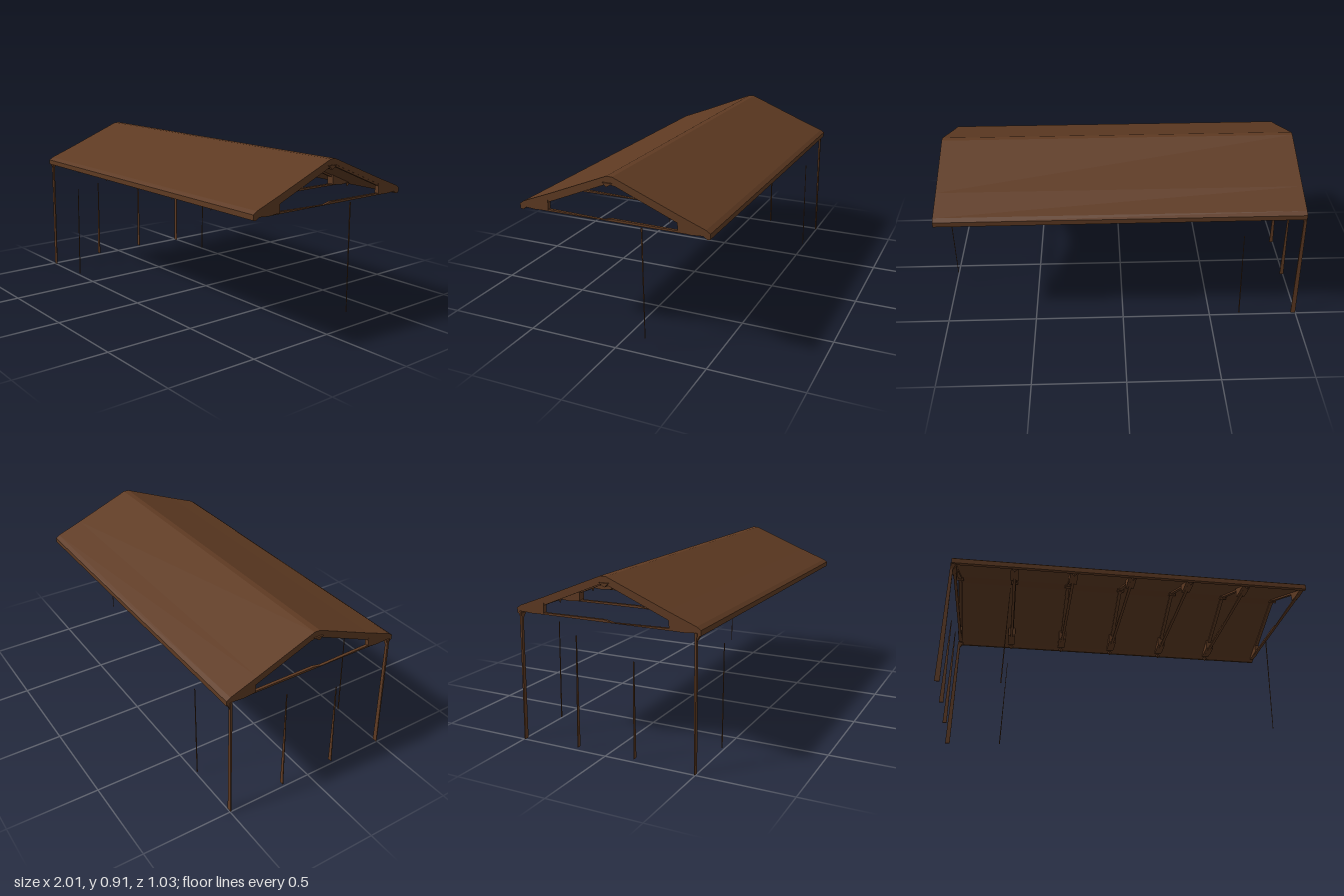
import * as THREE from 'three';

const wood = new THREE.MeshStandardMaterial({ color: 0x5e3a22, flatShading: true, side: THREE.DoubleSide });

const X0 = -0.975, X1 = 1.0;

// Extrudes a [z, y] outline along x, from x to x + length
function slab(name, outline, x, length) {
  const shape = new THREE.Shape(outline.map(([z, y]) => new THREE.Vector2(-z, y)));
  const geo = new THREE.ExtrudeGeometry(shape, { depth: length, bevelEnabled: false });
  geo.rotateY(Math.PI / 2);
  geo.translate(x, 0, 0);
  const mesh = new THREE.Mesh(geo, wood);
  mesh.name = name;
  return mesh;
}

// Closes a half outline (running from ridge to eave and back) across z = 0
const mirrored = (outer, inner) => [
  ...outer, ...inner,
  ...[...inner].reverse().map(([z, y]) => [-z, y]),
  ...[...outer].reverse().map(([z, y]) => [-z, y]),
];

// Thin post tapering between a bottom and a top rectangle: [x0, x1, z0, z1, y]
function post(bottom, top) {
  const geo = new THREE.BoxGeometry(1, 1, 1);
  const p = geo.attributes.position;
  for (let i = 0; i < p.count; i++) {
    const r = p.getY(i) > 0 ? top : bottom;
    p.setXYZ(i, p.getX(i) > 0 ? r[1] : r[0], r[4], p.getZ(i) > 0 ? r[3] : r[2]);
  }
  geo.computeVertexNormals();
  const mesh = new THREE.Mesh(geo, wood);
  mesh.name = 'post';
  return mesh;
}

export function createModel() {
  const model = new THREE.Group();
  model.name = 'openShelter';

  // Gabled roof with drooping eaves
  model.add(slab('roof', mirrored(
    [[0.016, 0.911], [0.345, 0.778], [0.495, 0.72], [0.517, 0.705], [0.517, 0.678]],
    [[0.5, 0.675], [0.478, 0.69], [0.355, 0.742], [0.035, 0.873]],
  ), X0, X1 - X0));

  // Trusses: rafters, eave gussets, tie beam, ridge block and eave brackets
  const count = 7;
  for (let i = 0; i < count; i++) {
    const truss = new THREE.Group();
    truss.name = 'truss';
    const x = THREE.MathUtils.lerp(X0 + 0.012, X1 - 0.012, i / (count - 1));
    const end = i === 0 || i === count - 1;
    for (const s of [1, -1]) {
      const side = (pts) => pts.map(([z, y]) => [s * z, y]);
      truss.add(slab('rafter', side([[0, 0.89], [0.4, 0.735], [0.35, 0.733], [0.03, 0.865], [0, 0.87]]), x - 0.01, 0.02));
      const w = end ? 0.024 : 0.044;
      truss.add(slab('gusset', side([[0.5, 0.69], [0.49, 0.71], [0.35, 0.755], [0.353, 0.69], [0.42, 0.684]]), x - w / 2, w));

      // Bracket: a small point hanging below the eave
      if (!end) {
        const bracket = new THREE.Mesh(new THREE.ConeGeometry(0.022, 0.03, 4), wood);
        bracket.name = 'eaveBracket';
        bracket.rotation.x = Math.PI;
        bracket.scale.z = 0.6;
        bracket.position.set(x, 0.675, s * 0.493);
        truss.add(bracket);
      }
    }
    truss.add(slab('tieBeam', [[0.45, 0.684], [0.36, 0.695], [0.05, 0.687], [0, 0.697], [-0.36, 0.694], [-0.43, 0.684]], x - 0.008, 0.016));
    truss.add(slab('ridgeBlock', [[0.035, 0.88], [0.012, 0.859], [-0.02, 0.88]], x - 0.02, 0.04));
    model.add(truss);
  }

  // Posts along the right end: two at the corners, two between
  for (const s of [1, -1]) {
    model.add(post([-1.0, -0.973, s * 0.495 - 0.002, s * 0.495 + 0.002, 0],
      [-0.98, -0.965, s * 0.492 - 0.006, s * 0.492 + 0.006, 0.69]));
    // Flared cap under the eave
    model.add(post([-0.976, -0.966, s * 0.492 - 0.005, s * 0.492 + 0.005, 0.65],
      [-0.975, -0.945, s * 0.497 - 0.014, s * 0.497 + 0.014, 0.682]));
    model.add(post([-0.998, -0.975, s * 0.164 - 0.002, s * 0.164 + 0.002, 0.015],
      [-0.978, -0.974, s * 0.162 - 0.002, s * 0.162 + 0.002, s > 0 ? 0.51 : 0.6]));
    // Second row of slim posts
    model.add(post([-0.674, -0.668, s * 0.493 - 0.002, s * 0.493 + 0.002, 0.01],
      [-0.656, -0.653, s * 0.493 - 0.002, s * 0.493 + 0.002, 0.56]));
  }

  // Single slim post at the left end
  model.add(post([0.98, 0.983, -0.163, -0.16, 0.08], [0.98, 0.984, -0.16, -0.153, 0.67]));

  return model;
}
